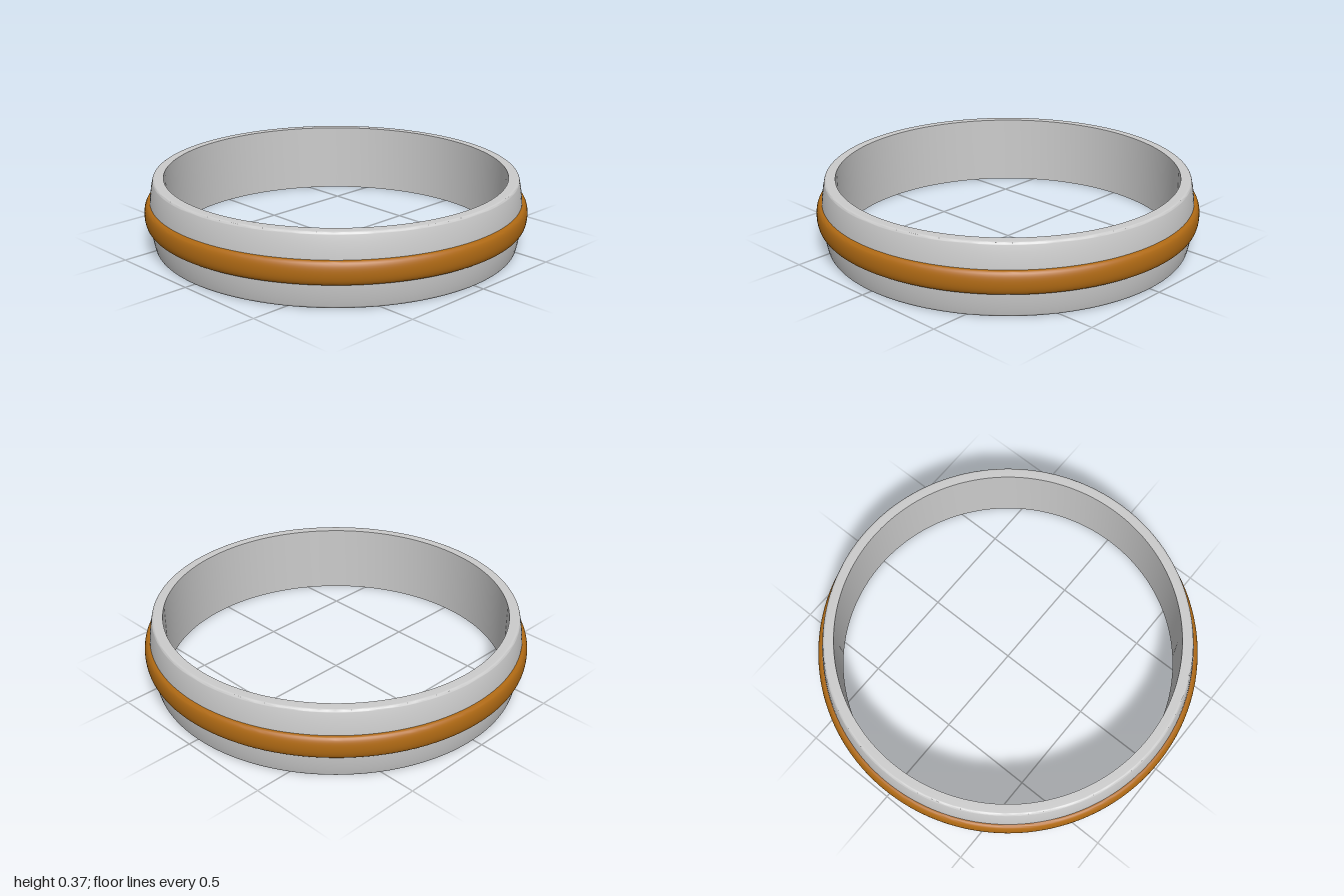
import * as THREE from 'three';
import { toCreasedNormals } from 'three/addons/utils/BufferGeometryUtils.js';

const HEIGHT = 0.37;
const MID = HEIGHT / 2;

// Revolve a closed profile (x = radius, y = height), listed anticlockwise
function ring(name, color, shape, divisions) {
  const points = shape.getPoints(divisions);
  if (!points[0].equals(points[points.length - 1])) points.push(points[0].clone());
  const geometry = toCreasedNormals(new THREE.LatheGeometry(points, 160), 0.6);
  const mesh = new THREE.Mesh(geometry, new THREE.MeshStandardMaterial({ color }));
  mesh.name = name;
  return mesh;
}

export function createModel() {
  const group = new THREE.Group();
  group.name = 'bandRing';

  // Main band: straight inside, gently domed outside with softened rims
  const band = new THREE.Shape();
  band.moveTo(0.895, 0);
  band.lineTo(0.938, 0);
  band.quadraticCurveTo(0.949, 0, 0.952, 0.012);
  band.bezierCurveTo(0.979, 0.12, 0.979, HEIGHT - 0.12, 0.952, HEIGHT - 0.012);
  band.quadraticCurveTo(0.949, HEIGHT, 0.938, HEIGHT);
  band.lineTo(0.895, HEIGHT);
  band.lineTo(0.895, 0);
  group.add(ring('band', 0xcccccc, band, 10));

  // Raised coloured stripe around the middle, with rounded edges
  const half = 0.059;
  const stripe = new THREE.Shape();
  stripe.moveTo(0.95, MID - half);
  stripe.lineTo(0.974, MID - half);
  stripe.bezierCurveTo(0.99, MID - half, 1, MID - 0.035, 1, MID);
  stripe.bezierCurveTo(1, MID + 0.035, 0.99, MID + half, 0.974, MID + half);
  stripe.lineTo(0.95, MID + half);
  stripe.lineTo(0.95, MID - half);
  group.add(ring('stripe', 0xb06a14, stripe, 8));

  return group;
}
